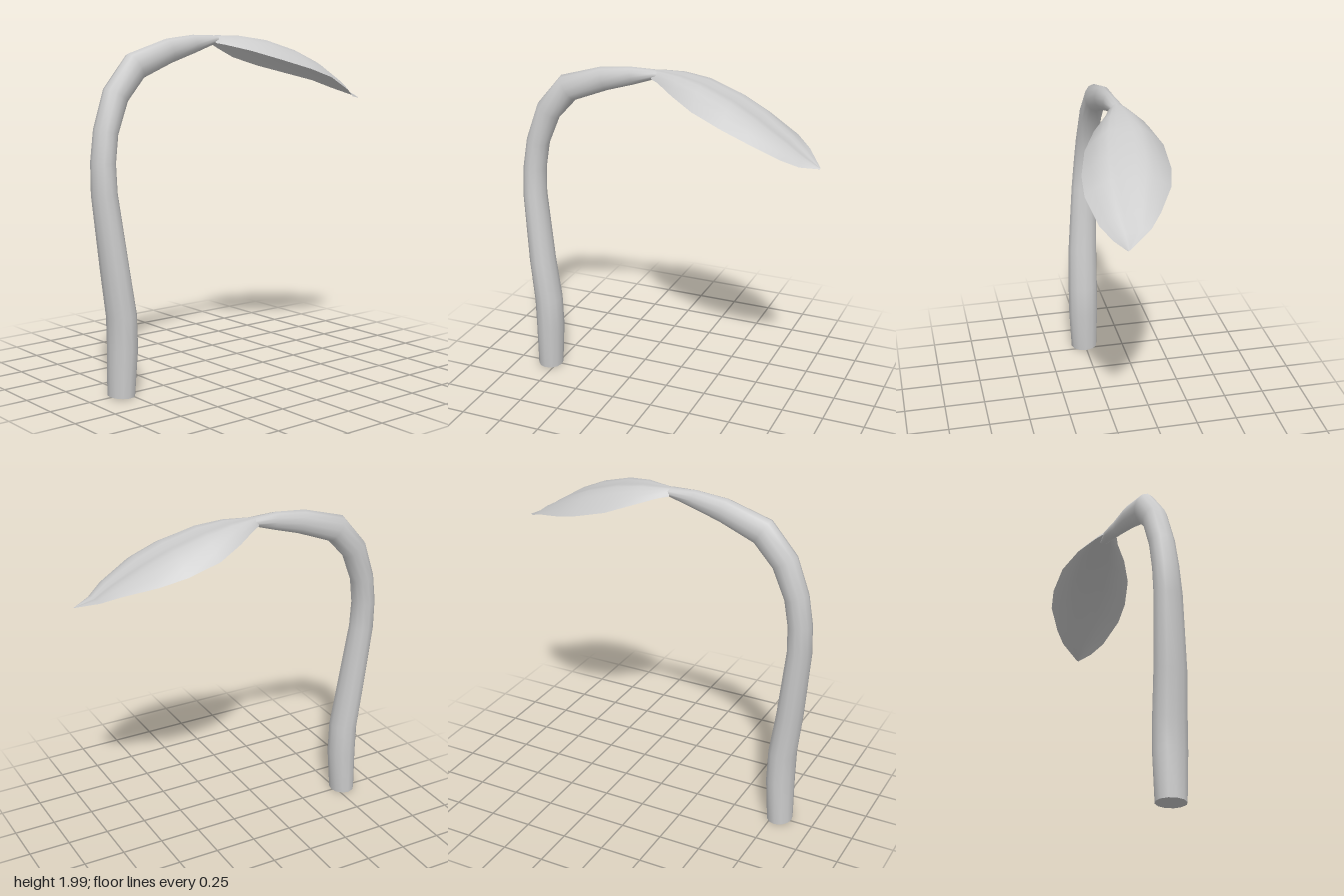
import * as THREE from 'three';

const SIDES = 12;

// Skins rows of points; closed rows wrap around.
function skin(rows, closed) {
  const n = rows[0].length, index = [];
  for (let i = 0; i < rows.length - 1; i++) {
    for (let j = 0; j < (closed ? n : n - 1); j++) {
      const k = (j + 1) % n;
      const a = i * n + j, b = i * n + k, c = a + n, d = b + n;
      index.push(a, b, c, b, d, c);
    }
  }
  const g = new THREE.BufferGeometry();
  g.setAttribute('position', new THREE.Float32BufferAttribute(
    rows.flat().flatMap((p) => p.toArray()), 3));
  g.setIndex(index);
  g.computeVertexNormals();
  return g;
}

export function createModel() {
  const group = new THREE.Group();
  const add = (name, geometry, side = THREE.FrontSide) => {
    const mesh = new THREE.Mesh(geometry, new THREE.MeshStandardMaterial({ color: 0xcccccc, side }));
    mesh.name = name;
    group.add(mesh);
  };

  // Stem stations: centre x, y, z, radius in the bend plane, radius along z
  const stations = [
    [-0.795, 0.01, 0.005, 0.075, 0.085],
    [-0.785, 0.28, 0.01, 0.083, 0.095],
    [-0.79, 0.47, 0.01, 0.082, 0.095],
    [-0.825, 0.73, 0.003, 0.077, 0.092],
    [-0.87, 1.15, -0.02, 0.07, 0.08],
    [-0.868, 1.32, -0.03, 0.068, 0.075],
    [-0.843, 1.485, -0.038, 0.069, 0.072],
    [-0.77, 1.68, -0.047, 0.077, 0.069],
    [-0.637, 1.832, -0.05, 0.083, 0.064],
    [-0.405, 1.912, -0.05, 0.07, 0.052],
    [-0.23, 1.947, -0.052, 0.052, 0.039],
    [-0.09, 1.968, -0.058, 0.026, 0.042],
    [0.03, 1.978, -0.055, 0.003, 0.02],
  ];
  const centres = stations.map((s) => new THREE.Vector3(s[0], s[1], s[2]));
  const side = new THREE.Vector3(0, 0, 1);
  const rings = stations.map((s, i) => {
    const tangent = centres[Math.min(i + 1, centres.length - 1)].clone()
      .sub(centres[Math.max(i - 1, 0)]);
    const out = side.clone().cross(tangent).normalize();
    return Array.from({ length: SIDES }, (_, j) => {
      const a = (j / SIDES) * Math.PI * 2;
      return centres[i].clone()
        .addScaledVector(out, Math.cos(a) * s[3])
        .addScaledVector(side, Math.sin(a) * s[4]);
    });
  });
  add('stem', skin(rings, true));
  add('stemBase', skin([rings[0].map(() => centres[0].clone()), rings[0]], true));

  // Leaf stations: x, back edge z, y, front edge z, y, crest y
  const leaf = [
    [-0.1, -0.105, 1.955, -0.015, 1.95, 1.995],
    [-0.05, -0.135, 1.947, 0.01, 1.94, 1.998],
    [0.07, -0.205, 1.91, 0.1, 1.905, 2.0],
    [0.22, -0.255, 1.855, 0.183, 1.855, 1.98],
    [0.41, -0.25, 1.80, 0.237, 1.797, 1.918],
    [0.56, -0.212, 1.76, 0.25, 1.745, 1.845],
    [0.74, -0.112, 1.705, 0.21, 1.66, 1.73],
    [0.83, -0.04, 1.66, 0.157, 1.615, 1.66],
    [0.93, 0.092, 1.605, 0.102, 1.6, 1.605],
  ];
  // Arched blade with a shallow groove along the midrib
  const COLS = 10;
  const blade = leaf.map(([x, zb, yb, zf, yf, yc]) =>
    Array.from({ length: COLS + 1 }, (_, j) => {
      const t = (j / COLS) * 2 - 1, u = Math.abs(t);
      const groove = 0.05 * (zf - zb) * Math.max(0, 1 - u / 0.4);
      const y = THREE.MathUtils.lerp(yc, t < 0 ? yb : yf, u ** 2.2) - groove;
      return new THREE.Vector3(x, y, THREE.MathUtils.lerp(zb, zf, (t + 1) / 2));
    }));
  add('leaf', skin(blade, false), THREE.DoubleSide);

  return group;
}
